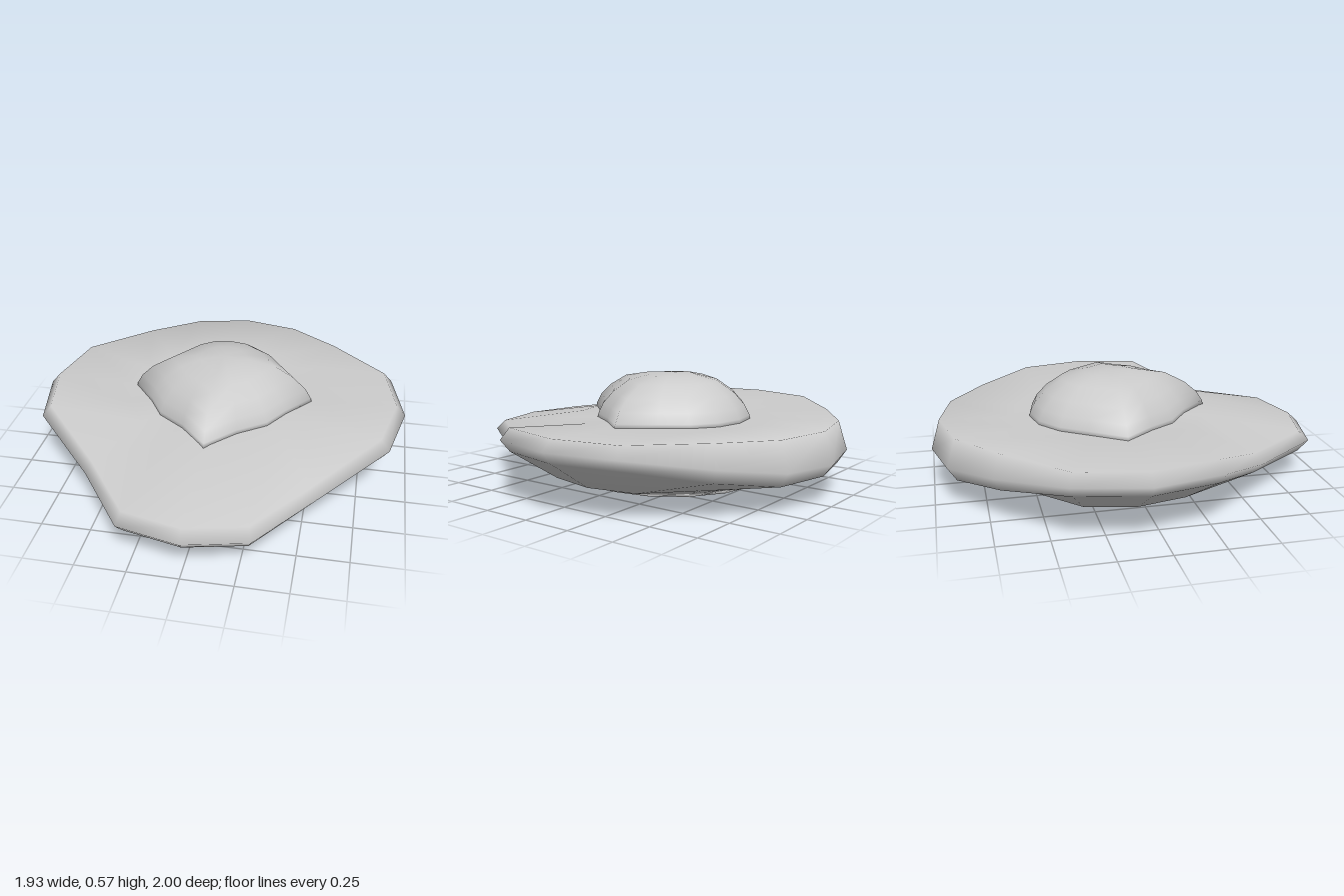
import * as THREE from 'three';

const SIDES = 16;
const CENTRE_Z = -0.08;

// Half outlines from the back (0) to the front (8): [x, z]
const rimOutline = [[0, -1], [0.31, -0.93], [0.58, -0.73], [0.89, -0.43], [0.965, -0.08],
  [0.89, 0.27], [0.57, 0.57], [0.31, 0.93], [0, 1]];
const domeOutline = [[0, -0.5], [0.15, -0.47], [0.27, -0.38], [0.36, -0.25], [0.48, -0.08],
  [0.36, 0.07], [0.28, 0.2], [0.14, 0.3], [0, 0.45]];

// Heights of the rim, back to front: the sides are raised like wings
const rimTop = [0.355, 0.355, 0.36, 0.365, 0.365, 0.365, 0.25, 0.25, 0.25];
const rimEdge = [0.2, 0.21, 0.25, 0.31, 0.31, 0.31, 0.2, 0.2, 0.2];
const rimUnder = [0.14, 0.14, 0.18, 0.25, 0.25, 0.25, 0.15, 0.14, 0.14];

// Ring following a mirrored half outline, scaled about the centre
function outlineRing(outline, scale, heights) {
  return Array.from({ length: SIDES }, (_, i) => {
    const j = i <= 8 ? i : SIDES - i;
    const [x, z] = outline[j];
    const y = Array.isArray(heights) ? heights[j] : heights;
    return [(i <= 8 ? x : -x) * scale, y, CENTRE_Z + (z - CENTRE_Z) * scale];
  });
}

function circleRing(r, y) {
  return Array.from({ length: SIDES }, (_, i) => {
    const a = (i / SIDES) * Math.PI * 2;
    return [Math.sin(a) * r, y, CENTRE_Z - Math.cos(a) * r];
  });
}

// Smooth skin over rings listed from the top centre outward and down
function loft(name, rings, topY, bottomY) {
  const positions = [...rings.flat(2), 0, topY, CENTRE_Z, 0, bottomY, CENTRE_Z];
  const top = rings.length * SIDES;
  const last = (rings.length - 1) * SIDES;
  const index = [];
  for (let i = 0; i < SIDES; i++) {
    const n = (i + 1) % SIDES;
    index.push(top, n, i, top + 1, last + i, last + n);
    for (let k = 0; k < last; k += SIDES) {
      const a = k + i, b = k + n;
      index.push(a, b, b + SIDES, a, b + SIDES, a + SIDES);
    }
  }
  const geometry = new THREE.BufferGeometry();
  geometry.setAttribute('position', new THREE.Float32BufferAttribute(positions, 3));
  geometry.setIndex(index);
  geometry.computeVertexNormals();
  const mesh = new THREE.Mesh(geometry, new THREE.MeshStandardMaterial({ color: 0xcccccc }));
  mesh.name = name;
  return mesh;
}

export function createModel() {
  const group = new THREE.Group();
  group.name = 'saucer';

  // Hull: plateau, winged rim and sloping underside
  group.add(loft('hull', [
    circleRing(0.5, 0.342),
    outlineRing(rimOutline, 0.95, rimTop),
    outlineRing(rimOutline, 1, rimEdge),
    outlineRing(rimOutline, 0.95, rimUnder),
    outlineRing(rimOutline, 0.7, 0.09),
    circleRing(0.5, 0.045),
  ], 0.342, 0.045));

  // Stepped belly plate with a shallow recess
  group.add(loft('bellyPlate', [
    circleRing(0.51, 0.05),
    circleRing(0.49, 0.03),
    circleRing(0.275, 0),
    circleRing(0.23, 0.03),
  ], 0.05, 0.035));

  // Pointed canopy dome
  const domeProfile = [[0.3, 0.557], [0.58, 0.53], [0.79, 0.47], [0.92, 0.41], [0.98, 0.36], [1, 0.325]];
  group.add(loft('canopy', domeProfile.map(([s, y]) => outlineRing(domeOutline, s, y)), 0.568, 0.325));

  return group;
}
